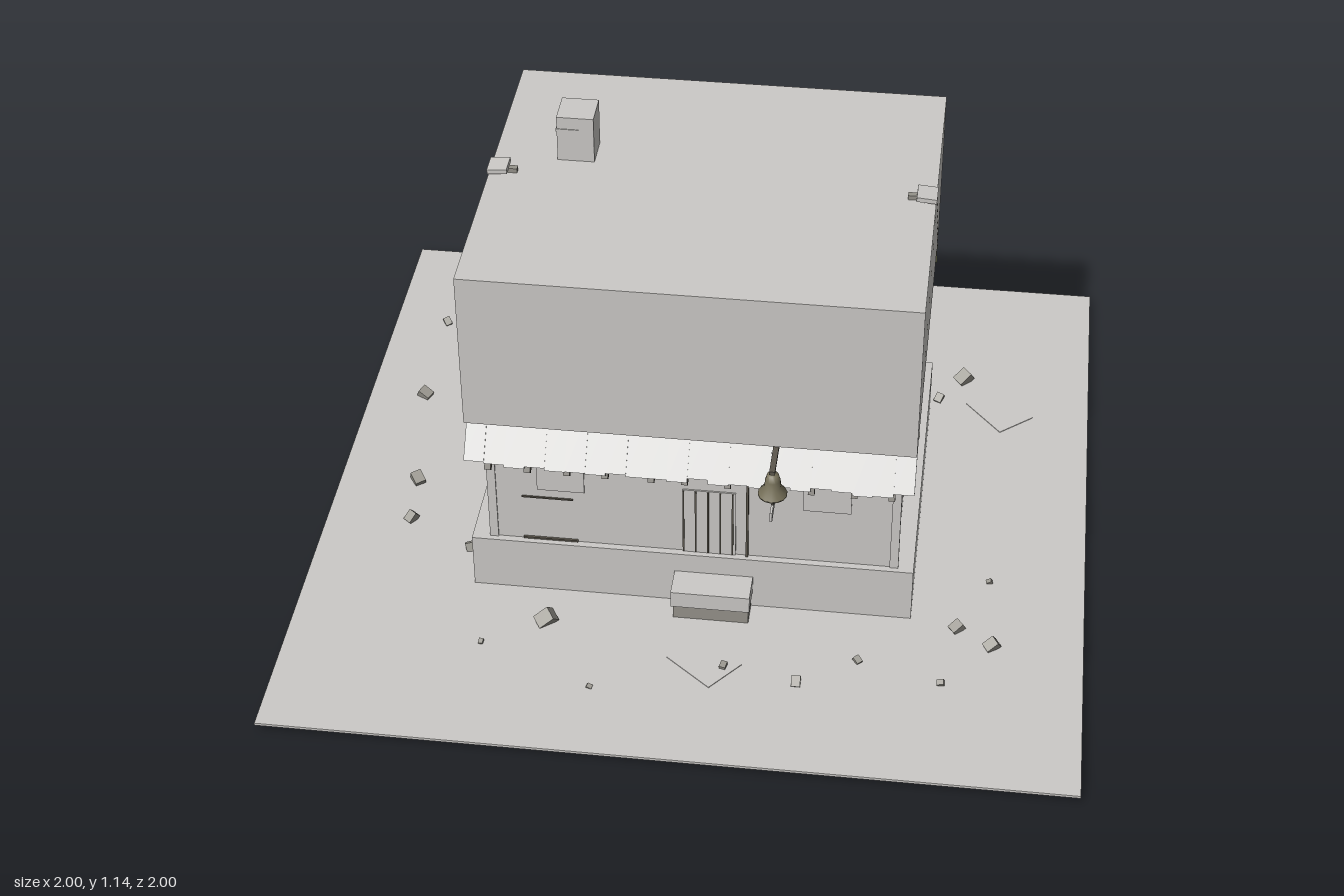
import * as THREE from 'three';

const mat = (name, color) => Object.assign(new THREE.MeshStandardMaterial({ color }), { name });

export function createModel() {
  const plaster = mat('plaster grey', 0xcccac7);
  const tileGrey = mat('tile grey', 0xd0cfcd);
  const tileMoss = mat('moss yellow', 0xcdd596);
  const wood = mat('dark wood', 0x5c574d);
  const stone = mat('stone grey', 0x96938b);
  const bronze = mat('dull bronze', 0x77715a);

  const model = new THREE.Group();
  let seed = 7;
  const rand = () => (seed = (seed * 16807) % 2147483647) / 2147483647;

  function add(name, geo, material, x = 0, y = 0, z = 0, parent = model) {
    const m = new THREE.Mesh(geo, material);
    m.name = name;
    m.position.set(x, y, z);
    parent.add(m);
    return m;
  }
  // box given by its limits on each axis
  function block(name, material, x0, x1, y0, y1, z0, z1, parent = model) {
    return add(name, new THREE.BoxGeometry(x1 - x0, y1 - y0, z1 - z0), material,
      (x0 + x1) / 2, (y0 + y1) / 2, (z0 + z1) / 2, parent);
  }

  // main masses
  block('ground', plaster, -1, 1, 0.011, 0.018, -1, 1);
  block('foundation', plaster, -0.562, 0.562, 0.009, 0.172, -0.43, 0.438);
  block('walls', plaster, -0.512, 0.518, 0.172, 0.58, -0.41, 0.42);
  block('roofBlock', plaster, -0.555, 0.555, 0.575, 1.01, -0.47, 0.47);
  block('chimney', plaster, -0.395, -0.302, 1.005, 1.135, -0.152, -0.06);
  block('chimneyBand', plaster, -0.397, -0.34, 1.095, 1.102, -0.154, -0.058);

  // corner posts
  for (const x of [-0.506, 0.512])
    for (const z of [-0.404, 0.414])
      block('cornerPost', plaster, x - 0.011, x + 0.011, 0.172, 0.575, z - 0.01, z + 0.01);

  // windows on the front
  for (const [x0, x1] of [[-0.39, -0.27], [0.28, 0.4]])
    block('window', plaster, x0, x1, 0.338, 0.455, 0.42, 0.424);
  block('wallLedge', wood, -0.43, -0.3, 0.309, 0.313, 0.42, 0.424);
  block('wallLedge', wood, -0.43, -0.29, 0.174, 0.179, 0.42, 0.426);

  // slatted door and its post
  block('door', plaster, -0.022, 0.112, 0.172, 0.375, 0.42, 0.424);
  for (let i = 0; i < 5; i++)
    block('doorSlat', wood, -0.022 + i * 0.031, -0.018 + i * 0.031, 0.174, 0.373, 0.424, 0.427);
  block('doorPost', wood, 0.138, 0.144, 0.172, 0.46, 0.42, 0.428);

  // plaster patch and its broken edge on both side walls
  const edge = [[0.345, 0.575], [0.345, 0.385], [-0.02, 0.34], [-0.21, 0.335], [-0.295, 0.185]];
  for (const s of [1, -1]) {
    const wallX = s > 0 ? 0.518 : -0.512;
    for (let i = 0; i < edge.length - 1; i++) {
      const [z0, y0] = edge[i], [z1, y1] = edge[i + 1];
      const strip = add('plasterEdge',
        new THREE.BoxGeometry(0.006, 0.007, Math.hypot(z1 - z0, y1 - y0)), stone,
        wallX, (y0 + y1) / 2, (z0 + z1) / 2);
      strip.rotation.x = -Math.atan2(y1 - y0, z1 - z0);
    }
    block('sideVent', plaster, wallX - 0.004, wallX + 0.004, 0.53, 0.575, -0.29, -0.26);
    block('sidePeg', wood, wallX - 0.01, wallX + 0.012, 0.172, 0.21, 0.088, 0.106);
  }

  // sloping eaves, front and back: uneven tiles over rafters
  const slope = Math.atan2(0.125, 0.1);
  for (const side of [1, -1]) {
    const eave = new THREE.Group();
    eave.name = side > 0 ? 'frontEave' : 'backEave';
    eave.rotation.y = side > 0 ? 0 : Math.PI;
    model.add(eave);
    const pitch = new THREE.Group();
    pitch.name = 'eaveSlope';
    pitch.position.set(0, 0.597, 0.402);
    pitch.rotation.x = slope;
    eave.add(pitch);
    const tiles = side > 0 ? tileGrey : tileMoss;
    const n = 22, w = 1.11 / n;
    for (let i = 0; i < n; i++) {
      const x = -0.555 + i * w;
      const len = 0.153 + rand() * 0.013;
      block('upperTile', tiles, x, x + w, -0.012, rand() * 0.003, 0, len, pitch);
    }
    block('tileBed', tiles, -0.55, 0.55, -0.024, -0.012, 0, 0.15, pitch);
    for (let i = 0; i < 11; i++) {
      const x = -0.5 + i * 0.1 + (rand() - 0.5) * 0.02;
      block('rafter', wood, x - 0.008, x + 0.008, -0.042, -0.024, 0, 0.172, pitch);
    }
  }

  // gable edges showing at the ends of the roof
  for (const x of [-0.555, 0.555])
    for (const s of [1, -1])
      for (let i = 0; i < 9; i++) {
        const t = (i + 0.6) / 9;
        const dash = add('gableEdge', new THREE.BoxGeometry(0.004, 0.004, 0.014), wood,
          x, 1.01 - 0.44 * t, s * (0.02 + 0.4 * t));
        dash.rotation.x = s * 0.83;
      }

  // ridge caps
  for (const s of [1, -1]) {
    const cap = add('ridgeCap', new THREE.BoxGeometry(0.05, 0.012, 0.058), plaster, s * 0.532, 1.024, 0.004);
    cap.rotation.z = -s * 0.08;
    add('ridgePeg', new THREE.BoxGeometry(0.03, 0.016, 0.016), stone, s * 0.5, 1.014, 0.004);
  }

  // step box by the door
  block('stepTop', plaster, -0.042, 0.158, 0.068, 0.115, 0.436, 0.52);
  block('stepBase', stone, -0.038, 0.154, 0.016, 0.07, 0.436, 0.505);

  // hanging bell with bracket and tag
  block('bellBracket', wood, 0.206, 0.22, 0.556, 0.566, 0.42, 0.555);
  const profile = [[0, 0.065], [0.014, 0.062], [0.019, 0.045], [0.021, 0.025], [0.036, 0.005], [0.036, 0], [0, 0.004]];
  add('bell', new THREE.LatheGeometry(profile.map(p => new THREE.Vector2(...p)).reverse(), 14),
    bronze, 0.213, 0.478, 0.532);
  add('bellCord', new THREE.CylinderGeometry(0.003, 0.003, 0.14, 6), wood, 0.213, 0.495, 0.532);
  block('bellTag', plaster, 0.21, 0.216, 0.416, 0.444, 0.5, 0.565);

  // loose flat slabs on the ground
  for (const [x, z, turn] of [[0.06, 0.655, -0.68], [0.755, -0.43, -0.87]]) {
    const slab = add('groundSlab', new THREE.BoxGeometry(0.15, 0.003, 0.115), plaster, x, 0.0185, z);
    slab.rotation.y = turn;
  }

  // scattered stones: x, z, size
  const stones = [
    [0.21, -0.85, 0.052], [0.29, -0.9, 0.014], [-0.04, -0.82, 0.024], [0.04, -0.81, 0.016], [-0.32, -0.8, 0.012],
    [-0.66, -0.785, 0.022], [0.215, -0.72, 0.026], [0.42, -0.665, 0.014], [-0.85, -0.645, 0.024], [-0.73, -0.52, 0.026],
    [-0.42, -0.58, 0.036], [-0.52, -0.565, 0.014], [0.1, -0.59, 0.032], [0.65, -0.555, 0.042], [0.585, -0.46, 0.026],
    [-0.845, -0.305, 0.034], [-0.68, -0.245, 0.02], [-0.79, 0.06, 0.036], [-0.775, 0.215, 0.03], [-0.6, 0.31, 0.024],
    [-0.355, 0.56, 0.045], [-0.505, 0.655, 0.014], [-0.21, 0.78, 0.014], [0.11, 0.67, 0.02], [0.295, 0.705, 0.028],
    [0.44, 0.61, 0.02], [0.65, 0.665, 0.018], [0.77, 0.52, 0.034], [0.68, 0.465, 0.032], [0.755, 0.28, 0.014],
  ];
  for (const [x, z, size] of stones) {
    const geo = new THREE.BoxGeometry(size, size * 0.75, size * 0.8);
    const rock = add('stone', geo, stone, x, 0.018 + size * 0.25, z);
    rock.rotation.set(rand() * 0.6, rand() * 3, rand() * 0.6);
  }
  return model;
}
